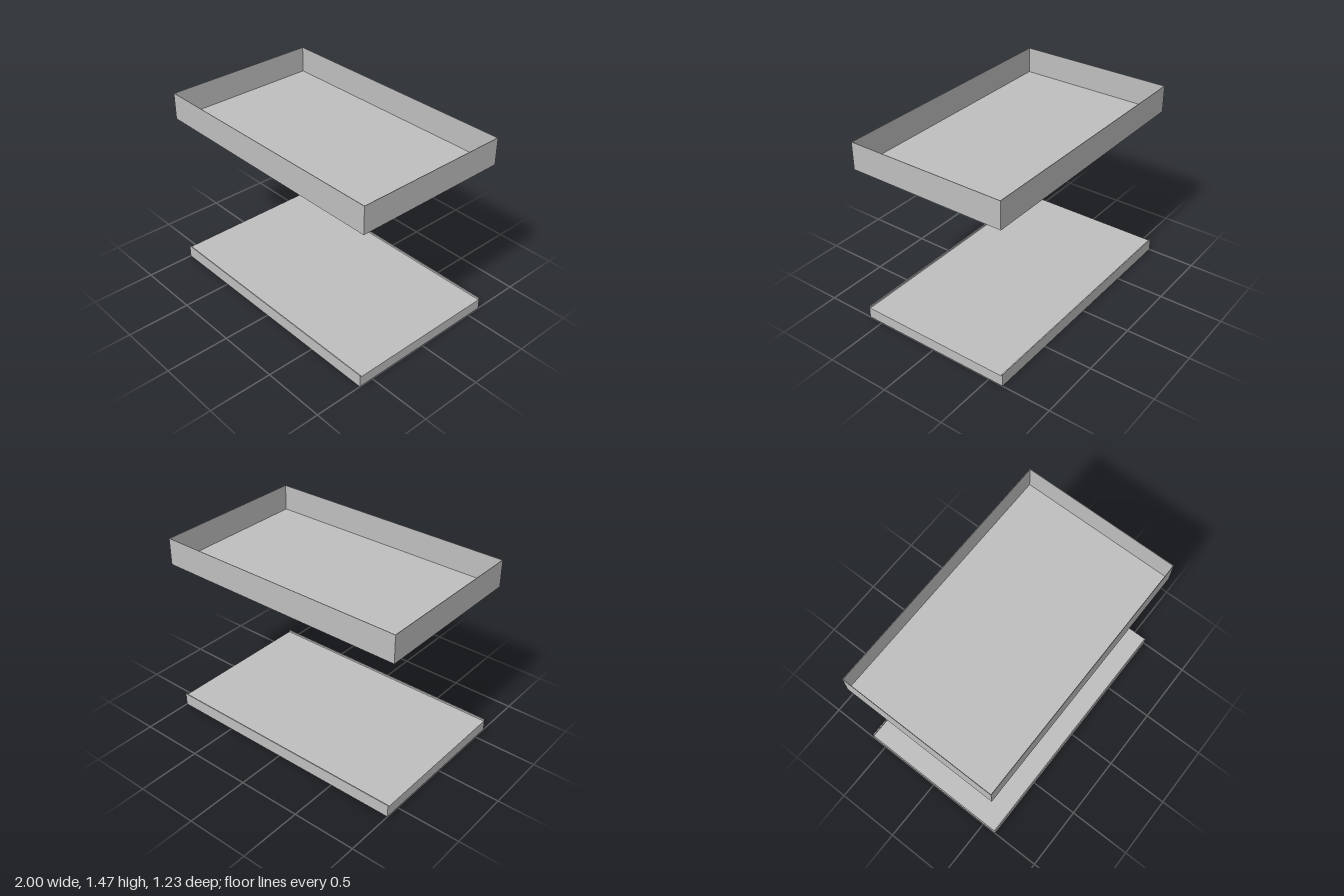
import * as THREE from 'three';

const W = 2, D = 1.234, T = 0.004; // overall width, depth, sheet thickness

export function createModel() {
  const model = new THREE.Group();
  model.name = 'trayAndPanel';
  const grey = new THREE.MeshStandardMaterial({ color: 0xc0c0c0 });
  grey.name = 'sheet grey';

  // Box given by its size, the height of its underside and its x, z centre
  function box(parent, name, w, h, d, y, x = 0, z = 0) {
    const mesh = new THREE.Mesh(new THREE.BoxGeometry(w, h, d), grey);
    mesh.name = name;
    mesh.position.set(x, y + h / 2, z);
    parent.add(mesh);
  }

  // Upper tray: open at the top, thin walls
  const tray = new THREE.Group();
  tray.name = 'upperTray';
  model.add(tray);
  const trayY = 1.263, trayH = 0.209;
  box(tray, 'trayFloor', W - 2 * T, T, D - 2 * T, trayY);
  for (const s of [1, -1]) {
    box(tray, s > 0 ? 'trayFrontWall' : 'trayBackWall', W, trayH, T, trayY, 0, s * (D - T) / 2);
    box(tray, s > 0 ? 'trayLeftWall' : 'trayRightWall', T, trayH, D - 2 * T, trayY, s * (W - T) / 2);
  }

  // Flat strip under the tray
  box(tray, 'undersideStrip', 1.7, 0.01, 0.114, trayY - 0.01);

  // Lower panel: open underneath, with raised lips along front and back
  const panel = new THREE.Group();
  panel.name = 'lowerPanel';
  model.add(panel);
  const topY = 0.086, lipY = 0.101, lipT = 0.008;
  box(panel, 'panelTop', W - 2 * T, T, D - 2 * T, topY - T);
  for (const s of [1, -1]) {
    const side = s > 0 ? 'Front' : 'Back';
    box(panel, `panel${side}Wall`, W, topY, T, 0, 0, s * (D - T) / 2);
    box(panel, `panel${side}Lip`, W, lipY - topY, lipT, topY, 0, s * (D - lipT) / 2);
    box(panel, s > 0 ? 'panelLeftWall' : 'panelRightWall', T, topY - T, D - 2 * T, T, s * (W - T) / 2);
    // top edge of the side wall, flush with the panel top
    box(panel, s > 0 ? 'panelLeftFoot' : 'panelRightFoot', T, T, D - 2 * T, 0, s * (W - T) / 2);
  }
  return model;
}
